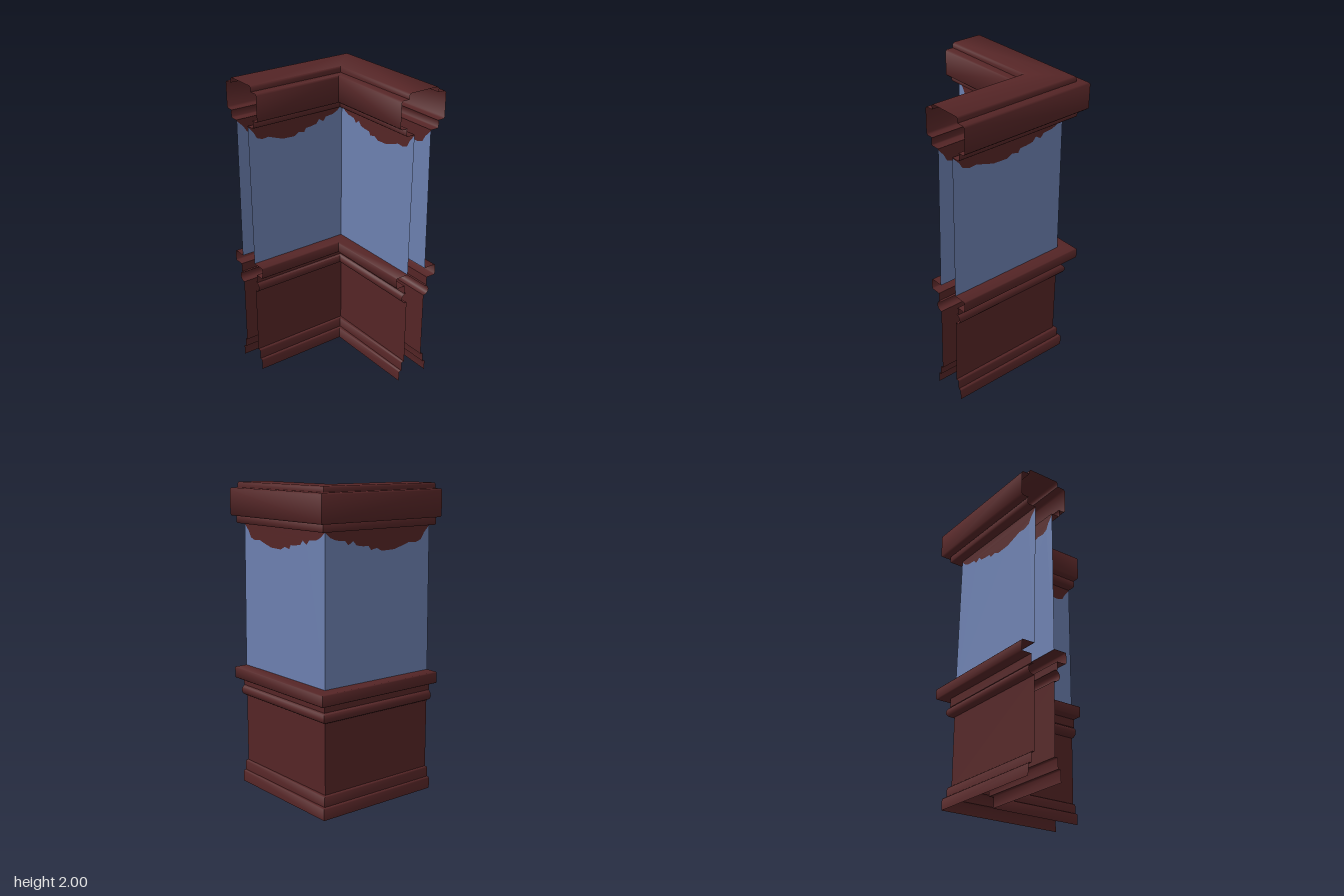
import * as THREE from 'three';
import { toCreasedNormals } from 'three/addons/utils/BufferGeometryUtils.js';

const MID = -0.3;   // centre line of both arms
const END = 0.47;   // open end of both arms

// Point on the L-shaped run: d is the offset outward from the centre line,
// t goes 0..1 from the mitred corner to the end of an arm.
function place(arm, d, t, y) {
  const c = MID - d;
  const along = c + (END - c) * t;
  return arm === 'back' ? [along, y, c] : [c, y, along];
}

// Sweeps a profile of [offset, height] points around the corner
function sweep(profile, flip) {
  const pos = [];
  for (const arm of ['back', 'side']) {
    for (let i = 0; i < profile.length - 1; i++) {
      const [d0, y0] = profile[i], [d1, y1] = profile[i + 1];
      const a = place(arm, d0, 0, y0), b = place(arm, d0, 1, y0);
      const c = place(arm, d1, 1, y1), e = place(arm, d1, 0, y1);
      if ((arm === 'side') !== flip) pos.push(...a, ...b, ...c, ...a, ...c, ...e);
      else pos.push(...a, ...c, ...b, ...a, ...e, ...c);
    }
  }
  const g = new THREE.BufferGeometry();
  g.setAttribute('position', new THREE.Float32BufferAttribute(pos, 3));
  return toCreasedNormals(g, 0.9);
}

// Wall face from a flat outline in (t, y), leaning slightly inward with height
function wallFace(outline, arm, side) {
  const g = new THREE.ShapeGeometry(new THREE.Shape(outline.map(([t, y]) => new THREE.Vector2(t, y))));
  const p = g.attributes.position;
  for (let i = 0; i < p.count; i++) {
    const y = p.getY(i);
    const d = side * THREE.MathUtils.mapLinear(y, 0.8, 1.74, 0.0725, 0.064);
    p.setXYZ(i, ...place(arm, d, p.getX(i), y));
  }
  g.computeVertexNormals();
  return g;
}

// Flat moulding band with small bevels
const band = (y0, y1, h, b) => [[h - b, y0], [h, y0 + b], [h, y1 - b], [h - b, y1]];

export function createModel() {
  const model = new THREE.Group();
  const wood = new THREE.MeshStandardMaterial({ color: 0x552526, side: THREE.DoubleSide });
  wood.name = 'dark red wood';
  const blue = new THREE.MeshStandardMaterial({ color: 0x6c80b0, side: THREE.DoubleSide });
  blue.name = 'blue wall';
  const add = (name, geometry, material) => {
    const m = new THREE.Mesh(geometry, material);
    m.name = name;
    model.add(m);
  };

  // Half-round bead under the rail
  const bead = [];
  for (let i = 0; i <= 8; i++) {
    const a = -Math.PI / 2 + (i / 8) * Math.PI;
    bead.push([0.078 + 0.035 * Math.cos(a), 0.635 + 0.035 * Math.sin(a)]);
  }

  const baseboard = [[0.113, 0], [0.113, 0.069], [0.107, 0.075], [0.093, 0.075],
    [0.093, 0.136], [0.087, 0.142], [0.0725, 0.142]];
  const panel = [[0.0725, 0.142], [0.0725, 0.6]];
  const rail = [[0.0725, 0.6], ...bead, [0.094, 0.67], [0.094, 0.728],
    ...band(0.728, 0.802, 0.162, 0.006), [0.0725, 0.802]];

  // Lower parts, on the outer and inner faces
  for (const side of [1, -1]) {
    const where = side > 0 ? 'outer' : 'inner';
    for (const [name, profile] of [['Baseboard', baseboard], ['LowerPanel', panel], ['ChairRail', rail]]) {
      add(where + name, sweep(profile.map(([d, y]) => [d * side, y]), side < 0), wood);
    }
  }

  // Crown, running from the outer wall over the top to the inner wall
  const half = [[0.064, 1.74], ...band(1.74, 1.79, 0.125, 0.006),
    ...band(1.79, 1.965, 0.171, 0.01), [0.113, 1.965], [0.113, 1.99], [0.103, 2]];
  const mirrored = half.map(([d, y]) => [-d, y]).reverse();
  add('crownMoulding', sweep([...half, ...mirrored], false), wood);

  // Ragged border between the blue wall and the dark drape below the crown
  const ragged = [[0, 1.735], [0.05, 1.70], [0.1, 1.683], [0.18, 1.677], [0.21, 1.65],
    [0.255, 1.672], [0.285, 1.645], [0.345, 1.637], [0.40, 1.635], [0.42, 1.61],
    [0.475, 1.62], [0.525, 1.60], [0.645, 1.603], [0.735, 1.624], [0.795, 1.64],
    [0.86, 1.635], [0.915, 1.65], [0.945, 1.69], [1, 1.735]];
  const wall = [[1, 0.8], [0, 0.8], ...ragged];
  const drape = [...ragged, [1, 1.742], [0, 1.742]];

  for (const arm of ['back', 'side']) {
    for (const side of [1, -1]) {
      const where = arm + (side > 0 ? 'Outer' : 'Inner');
      add(where + 'Wall', wallFace(wall, arm, side), blue);
      add(where + 'Drape', wallFace(drape, arm, side), wood);
    }
  }
  return model;
}
